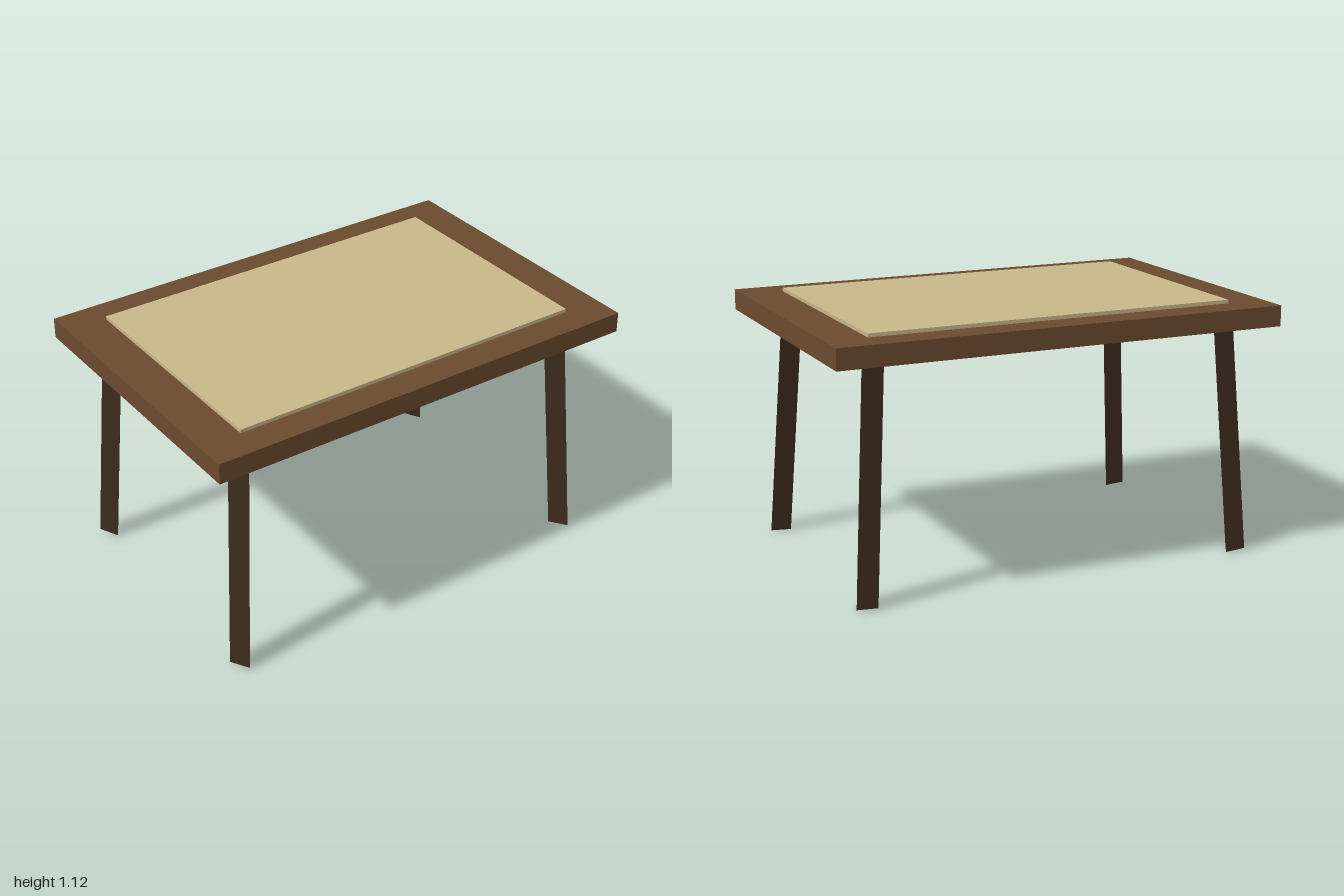
import * as THREE from 'three';

const mat = (name, color, flatShading = false) => {
  const m = new THREE.MeshStandardMaterial({ color, flatShading });
  m.name = name;
  return m;
};

export function createModel() {
  const table = new THREE.Group();
  table.name = 'table';
  const wood = mat('brown wood', 0x6b4a2f);
  const darkWood = mat('dark wood', 0x3d2b1f, true);
  const cloth = mat('tan cloth', 0xc8b78a);

  const add = (name, geometry, material, x, y, z) => {
    const mesh = new THREE.Mesh(geometry, material);
    mesh.name = name;
    mesh.position.set(x, y, z);
    table.add(mesh);
    return mesh;
  };

  // Slab and the thin inlay lying on it
  add('tableTop', new THREE.BoxGeometry(2, 0.09, 1.333), wood, 0, 1.062, 0);
  add('topInlay', new THREE.BoxGeometry(1.64, 0.016, 1.066), cloth, 0, 1.115, 0);

  // Four three-sided legs, splayed outwards, tops sunk into the slab
  const legShape = new THREE.CylinderGeometry(0.054, 0.054, 1.06, 3);
  for (const [front, sz] of [['front', 1], ['back', -1]]) {
    for (const [side, sx] of [['Left', 1], ['Right', -1]]) {
      const leg = add(front + side + 'Leg', legShape, darkWood, sx * 0.831, 0.533, sz * 0.531);
      leg.rotation.set(-sz * 0.055, 0, sx * 0.063);
    }
  }
  return table;
}
